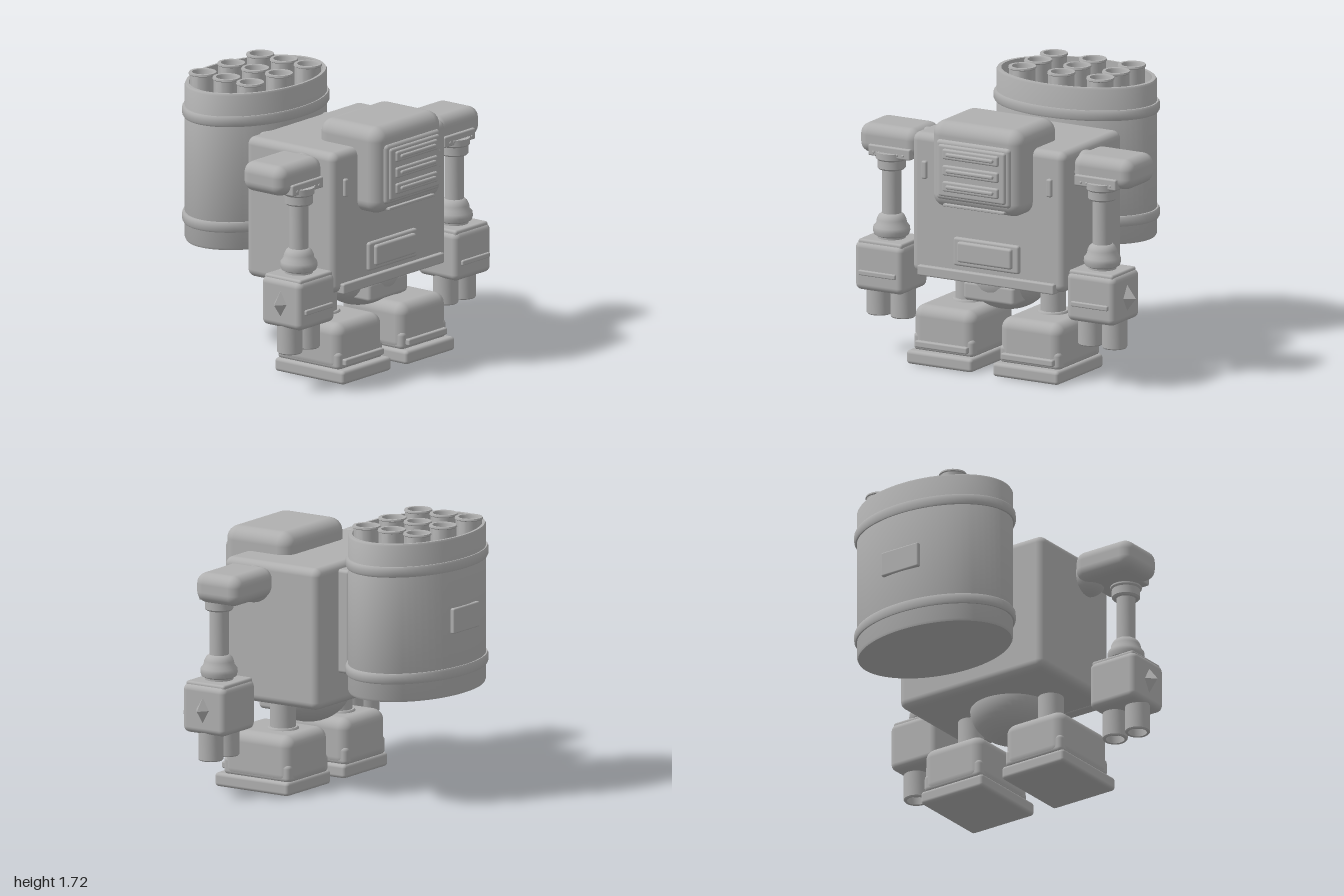
import * as THREE from 'three';
import { toCreasedNormals } from 'three/addons/utils/BufferGeometryUtils.js';
import { RoundedBoxGeometry } from 'three/addons/geometries/RoundedBoxGeometry.js';

export function createModel() {
  const root = new THREE.Group();
  root.name = 'robot';
  const grey = new THREE.MeshStandardMaterial({ color: 0xb0b0b0 });
  grey.name = 'grey';

  const add = (parent, name, geo, x = 0, y = 0, z = 0) => {
    const mesh = new THREE.Mesh(geo, grey);
    mesh.name = name;
    mesh.position.set(x, y, z);
    parent.add(mesh);
    return mesh;
  };
  // Rounded box from its lower and upper limits
  const box = (parent, name, [x0, x1], [y0, y1], [z0, z1], r = 0.01) => {
    const w = Math.abs(x1 - x0), h = y1 - y0, d = z1 - z0;
    const geo = new RoundedBoxGeometry(w, h, d, 4, Math.min(r, w * 0.45, h * 0.45, d * 0.45));
    return add(parent, name, geo, (x0 + x1) / 2, (y0 + y1) / 2, (z0 + z1) / 2);
  };
  // Turned part with sharp corners kept; sx, sz make it oval
  const turned = (parent, name, profile, x, z, sx = 1, sz = 1, n = 32) => {
    const geo = new THREE.LatheGeometry(profile.map(p => new THREE.Vector2(...p)), n);
    geo.scale(sx, 1, sz);
    return add(parent, name, toCreasedNormals(geo, 0.7), x, 0, z);
  };
  const group = (name) => {
    const g = new THREE.Group();
    g.name = name;
    root.add(g);
    return g;
  };

  // Torso with front details
  const torso = group('torso');
  box(torso, 'body', [-0.55, 0.55], [0.57, 1.465], [-0.1, 0.61], 0.05);
  box(torso, 'bellyFrame', [-0.235, 0.235], [0.66, 0.84], [0.59, 0.635], 0.015);
  box(torso, 'bellyPanel', [-0.195, 0.195], [0.69, 0.82], [0.6, 0.66], 0.015);
  box(torso, 'waistBar', [-0.49, 0.49], [0.565, 0.63], [0.56, 0.64], 0.01);
  for (const s of [-1, 1])
    box(torso, 'chestSlot', [s * 0.43, s * 0.467], [1.18, 1.295], [0.59, 0.632], 0.012);

  // Rounded pelvis with front plate
  const pelvis = new THREE.SphereGeometry(1, 40, 24);
  pelvis.scale(0.265, 0.22, 0.265);
  add(torso, 'pelvis', pelvis, 0, 0.58, 0.35);
  box(torso, 'pelvisPlate', [-0.185, 0.185], [0.44, 0.565], [0.42, 0.6], 0.025);

  // Head with grille
  const head = group('head');
  box(head, 'headShell', [-0.325, 0.325], [1.05, 1.6], [0.28, 0.775], 0.085);
  box(head, 'grilleFrame', [-0.265, 0.265], [1.115, 1.495], [0.74, 0.793], 0.025);
  box(head, 'grillePanel', [-0.24, 0.24], [1.14, 1.47], [0.75, 0.81], 0.015);
  for (const y of [1.21, 1.312, 1.415]) {
    box(head, 'grilleSlat', [-0.2, 0.2], [y - 0.033, y + 0.033], [0.78, 0.827], 0.012);
    box(head, 'grilleBar', [-0.17, 0.17], [y - 0.012, y + 0.012], [0.8, 0.842], 0.01);
  }
  box(head, 'chinStrip', [-0.22, 0.22], [1.07, 1.087], [0.72, 0.782], 0.005);

  // Oval back tank, open at the top with a bowl inside
  const tank = group('tank');
  const rx = 0.535, rz = 0.362, tz = -0.465;
  turned(tank, 'tankShell', [
    [0, 0.685], [0.985, 0.685], [1, 0.70], [1, 1.67], [0.985, 1.682], [0.94, 1.682],
    [0.93, 1.6], [0.88, 1.48], [0.75, 1.38], [0.5, 1.32], [0, 1.3],
  ], 0, tz, rx, rz, 64);
  for (const [y0, y1] of [[0.80, 0.865], [1.475, 1.54]])
    turned(tank, 'tankBand', [
      [0.98, y0], [1.02, y0], [1.035, y0 + 0.012], [1.035, y1 - 0.012], [1.02, y1], [0.98, y1],
    ], 0, tz, rx, rz, 64);
  for (const x of [-0.28, 0, 0.28])
    for (const z of [-0.66, -0.47, -0.28])
      turned(tank, 'launchTube', [
        [0.082, 1.28], [0.082, 1.71], [0.088, 1.715], [0.085, 1.726], [0.066, 1.726],
        [0.062, 1.715], [0.062, 1.5], [0.045, 1.47], [0, 1.455],
      ], x, z);
  box(tank, 'tankBackPlate', [-0.14, 0.14], [1.08, 1.24], [-0.84, -0.78], 0.01);
  box(tank, 'tankBracket', [-0.325, 0.325], [0.775, 1.43], [-0.178, -0.07], 0.02);

  // Arms and legs, mirrored
  for (const s of [1, -1]) {
    const side = s > 0 ? 'left' : 'right';
    const arm = group(side + 'Arm');
    const ax = s * 0.757, az = 0.497;
    add(arm, 'shoulderJoint', new THREE.SphereGeometry(0.115, 28, 18), s * 0.565, 1.325, 0.37);
    box(arm, 'shoulder', [s * 0.555, s * 0.98], [1.26, 1.45], [0.21, 0.54], 0.07);
    box(arm, 'shoulderBracket', [s * 0.59, s * 0.89], [1.26, 1.33], [0.46, 0.56], 0.01);
    for (const x of [0.64, 0.68, 0.81, 0.85])
      box(arm, 'bracketRivet', [s * (x - 0.008), s * (x + 0.008)], [1.277, 1.293], [0.55, 0.566], 0.005);
    turned(arm, 'armCollar', [
      [0, 1.18], [0.078, 1.18], [0.088, 1.19], [0.088, 1.24], [0.098, 1.25], [0.098, 1.29], [0, 1.29],
    ], ax, az);
    turned(arm, 'upperArm', [[0.06, 0.87], [0.06, 1.2]], ax, az);
    turned(arm, 'elbow', [
      [0.088, 0.72], [0.088, 0.755], [0.108, 0.765], [0.116, 0.79], [0.113, 0.815], [0.096, 0.835],
      [0.092, 0.86], [0.08, 0.885], [0.062, 0.9], [0, 0.9],
    ], ax, az);
    box(arm, 'hand', [s * 0.587, s * 0.935], [0.42, 0.73], [0.335, 0.655], 0.04);
    box(arm, 'handCap', [s * 0.6, s * 0.915], [0.69, 0.743], [0.35, 0.64], 0.015);
    box(arm, 'handStrip', [s * 0.63, s * 0.895], [0.52, 0.552], [0.64, 0.672], 0.008);

    // Four-sided stud on the outer face of the hand
    const stud = new THREE.ConeGeometry(1, 0.065, 4);
    stud.rotateZ(-s * Math.PI / 2);
    stud.scale(1, 0.084, 0.048);
    add(arm, 'handStud', toCreasedNormals(stud, 0.1), s * 0.9655, 0.577, az);
    for (const x of [0.674, 0.845])
      turned(arm, 'finger', [
        [0, 0.3], [0.058, 0.3], [0.058, 0.25], [0.072, 0.248], [0.078, 0.255], [0.078, 0.45],
      ], s * x, az);

    // Leg, foot and sole
    const leg = group(side + 'Leg');
    turned(leg, 'shin', [[0.08, 0.34], [0.08, 0.6]], s * 0.305, 0.33);
    turned(leg, 'ankleRing', [
      [0, 0.34], [0.1, 0.34], [0.1, 0.375], [0.092, 0.385], [0, 0.385],
    ], s * 0.305, 0.33);
    box(leg, 'foot', [s * 0.088, s * 0.532], [0.06, 0.372], [0.125, 0.635], 0.07);
    box(leg, 'footBase', [s * 0.092, s * 0.528], [0.08, 0.2], [0.13, 0.63], 0.03);
    box(leg, 'sole', [s * 0.073, s * 0.546], [0.003, 0.09], [0.127, 0.68], 0.022);
    box(leg, 'toeBar', [s * 0.122, s * 0.495], [0.11, 0.153], [0.61, 0.66], 0.01);
  }
  return root;
}
